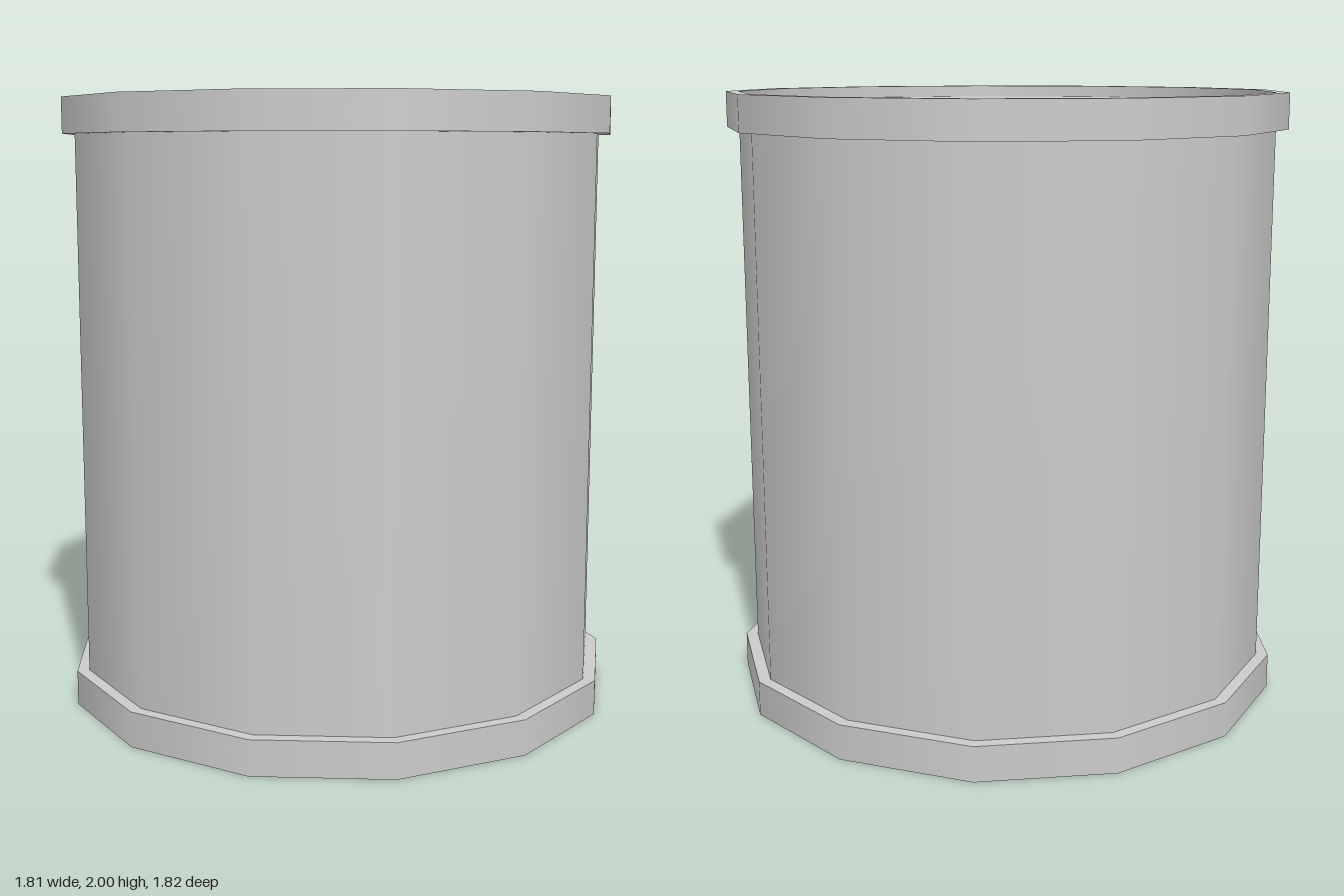
import * as THREE from 'three';
import { mergeGeometries } from 'three/addons/utils/BufferGeometryUtils.js';

const SIDES = 13;
const BODY_R = 0.878, RIM_R = 0.918;
const HEIGHT = 2, RIM_H = 0.115, RECESS = 0.04;

// Turns each profile segment separately, so profile corners stay sharp
// while the shading around the drum stays smooth.
function turned(profile) {
  const strips = [];
  for (let i = 0; i < profile.length - 1; i++) {
    const pair = [profile[i], profile[i + 1]].map(([r, y]) => new THREE.Vector2(r, y));
    strips.push(new THREE.LatheGeometry(pair, SIDES, Math.PI / 2));
  }
  return mergeGeometries(strips);
}

export function createModel() {
  const group = new THREE.Group();
  const material = new THREE.MeshStandardMaterial({ color: 0xcccccc });

  function add(name, geometry, y = 0) {
    const mesh = new THREE.Mesh(geometry, material);
    mesh.name = name;
    // an odd-sided drum is centred by its bounds, not its axis
    mesh.position.set(-0.013, y, 0);
    group.add(mesh);
  }

  // Drum wall with its recessed lid and base
  add('drumBody', turned([
    [0, RECESS], [BODY_R, RECESS],
    [BODY_R, HEIGHT - RECESS], [0, HEIGHT - RECESS],
  ]));

  // Raised rims at both ends
  const rim = turned([
    [BODY_R, 0], [RIM_R, 0], [RIM_R, RIM_H], [BODY_R, RIM_H], [BODY_R, 0],
  ]);
  add('bottomRim', rim);
  add('topRim', rim, HEIGHT - RIM_H);

  return group;
}
